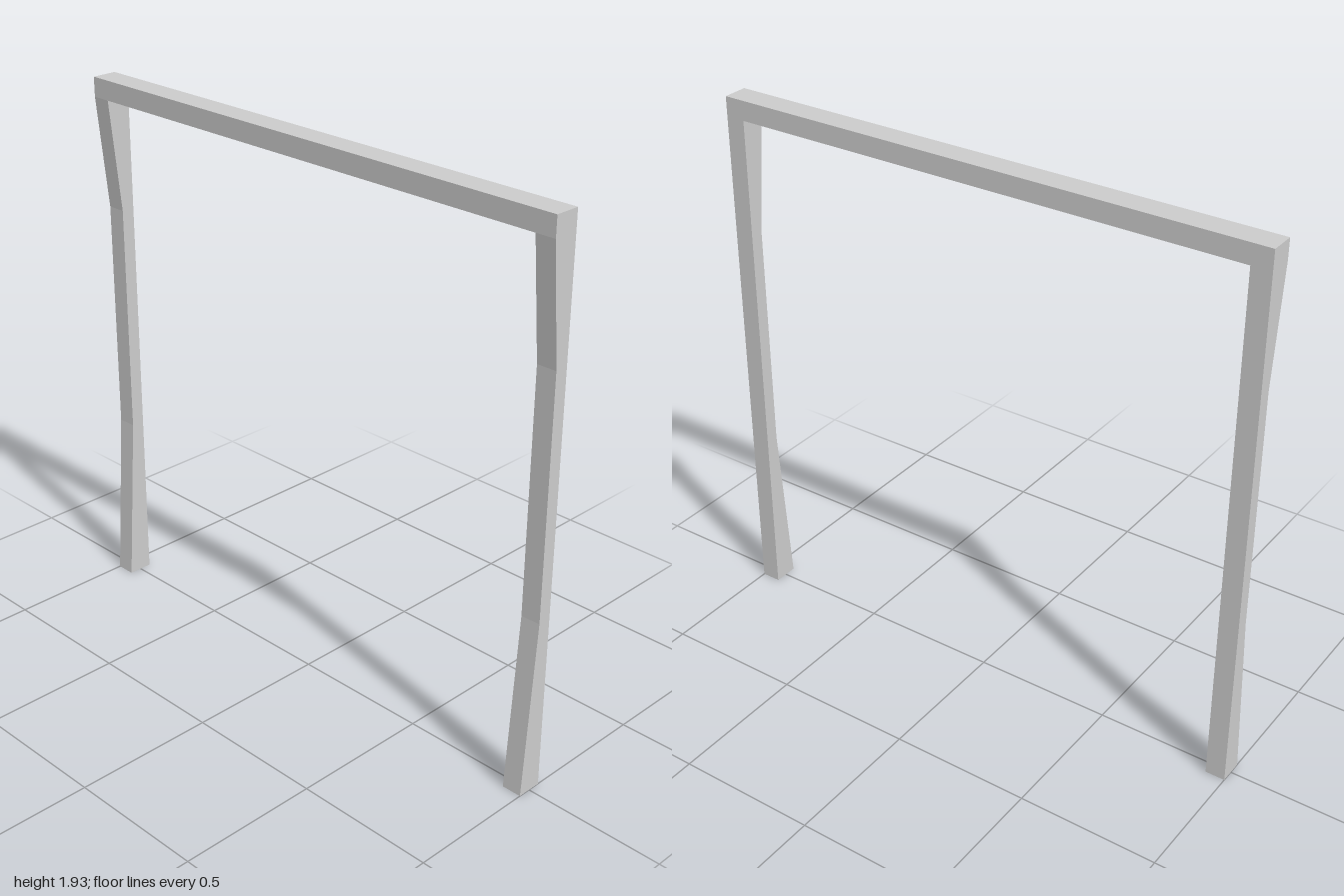
import * as THREE from 'three';

const WIDTH = 2, HEIGHT = 1.935, DEPTH = 0.09, BAR = 0.07;

export function createModel() {
  const group = new THREE.Group();
  group.name = 'frame';
  const material = new THREE.MeshStandardMaterial({ color: 0xcccccc, flatShading: true });
  const underside = HEIGHT - BAR;

  // Top beam spanning the full width
  const beam = new THREE.Mesh(new THREE.BoxGeometry(WIDTH, BAR, DEPTH), material);
  beam.name = 'topBeam';
  beam.position.y = HEIGHT - BAR / 2;
  group.add(beam);

  // Leg side profile (z, y): flat back, front waisted in the middle
  const back = -DEPTH / 2, front = DEPTH / 2, waist = 0.003;
  const profile = new THREE.Shape([
    [back, 0], [front, 0], [waist, 0.62], [waist, 1.46], [front, underside], [back, underside],
  ].map(([z, y]) => new THREE.Vector2(z, y)));
  const legGeometry = new THREE.ExtrudeGeometry(profile, { depth: BAR, bevelEnabled: false });
  legGeometry.rotateY(-Math.PI / 2).translate(BAR / 2, 0, 0);

  // Mirrored pair of legs
  for (const [name, side] of [['leftLeg', 1], ['rightLeg', -1]]) {
    const leg = new THREE.Mesh(legGeometry, material);
    leg.name = name;
    leg.position.x = side * (WIDTH - BAR) / 2;
    group.add(leg);
  }
  return group;
}
